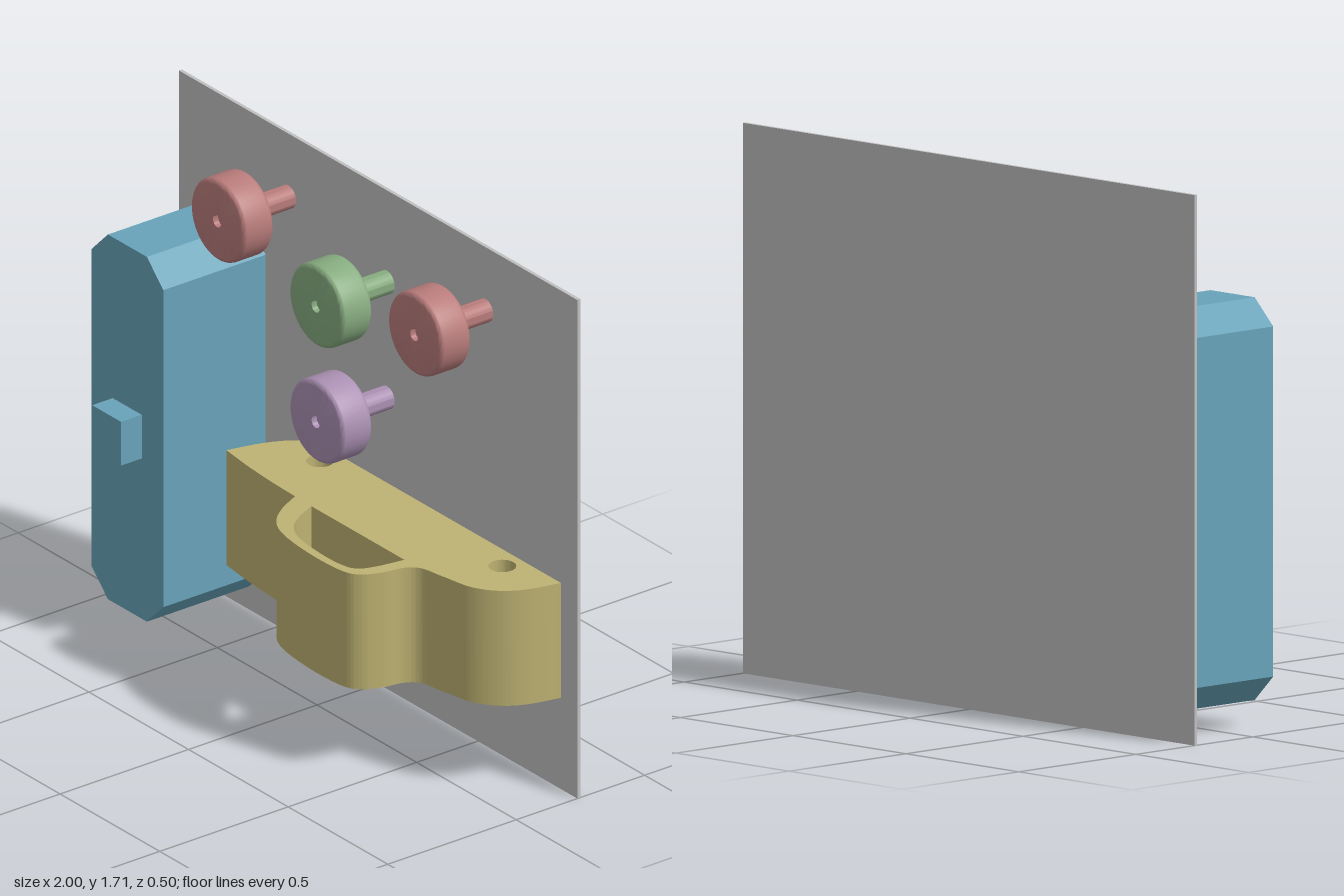
import * as THREE from 'three';
import { toCreasedNormals } from 'three/addons/utils/BufferGeometryUtils.js';

const material = (name, color) => {
  const m = new THREE.MeshStandardMaterial({ color });
  m.name = name;
  return m;
};

const BACK = -0.238; // front surface of the panel

export function createModel() {
  const group = new THREE.Group();
  const grey = material('panel grey', 0xc0c0c0);
  const blue = material('box blue', 0x68a3b9);
  const red = material('knob red', 0xb87c7b);
  const green = material('knob green', 0x87ac80);
  const purple = material('knob purple', 0xab90b3);
  const gold = material('handle gold', 0xbdb272);

  const add = (name, geometry, mat, x = 0, y = 0, z = 0) => {
    const mesh = new THREE.Mesh(geometry, mat);
    mesh.name = name;
    mesh.position.set(x, y, z);
    group.add(mesh);
    return mesh;
  };

  // Thin backing panel
  add('backPanel', new THREE.BoxGeometry(2, 1.714, 0.012), grey, 0, 0.857, -0.244);

  // Tall box with chamfered corners, and its button
  const w = 0.18, h = 0.627, c = 0.082;
  const octagon = new THREE.Shape([
    [-w + c, -h], [w - c, -h], [w, -h + c], [w, h - c],
    [w - c, h], [-w + c, h], [-w, h - c], [-w, -h + c],
  ].map(([x, y]) => new THREE.Vector2(x, y)));
  add('chamferedBox', new THREE.ExtrudeGeometry(octagon, { depth: 0.16 - BACK, bevelEnabled: false }),
    blue, -0.745, 0.707, BACK);
  add('boxButton', new THREE.BoxGeometry(0.146, 0.15, 0.08), blue, -0.746, 0.706, 0.2);

  // Knobs: stem, rounded head and centre dimple in one turned profile
  const profile = [[0, BACK], [0.038, BACK], [0.038, -0.078]];
  const R = 0.138, f = 0.018, back = -0.078, front = 0.04;
  for (let i = 0; i <= 5; i++) {
    const a = (i / 5) * Math.PI / 2;
    profile.push([R - f + f * Math.sin(a), back + f - f * Math.cos(a)]);
  }
  for (let i = 0; i <= 5; i++) {
    const a = (i / 5) * Math.PI / 2;
    profile.push([R - f + f * Math.cos(a), front - f + f * Math.sin(a)]);
  }
  profile.push([0.02, front], [0.02, front - 0.02], [0, front - 0.02]);
  const knob = toCreasedNormals(
    new THREE.LatheGeometry(profile.map(([r, y]) => new THREE.Vector2(r, y)), 48).rotateX(Math.PI / 2), 0.6);
  add('leftRedKnob', knob, red, 0.54, 1.498);
  add('rightRedKnob', knob, red, -0.45, 1.498);
  add('greenKnob', knob, green, 0.045, 1.4);
  add('purpleKnob', knob, purple, 0.045, 1.003);

  // Handle block: plan outline in (x, z), extruded upward
  const points = (list) => list.map(([x, z]) => new THREE.Vector2(x, -z));
  const outline = new THREE.Shape();
  outline.moveTo(-0.325, -BACK);
  outline.splineThru(points([[-0.375, -0.17], [-0.41, -0.09], [-0.435, 0.015]]));
  outline.splineThru(points([[-0.31, 0.03], [-0.18, 0.039], [-0.055, 0.043]]));
  outline.splineThru(points([[-0.01, 0.13], [0.05, 0.197], [0.14, 0.234], [0.3, 0.25], [0.44, 0.243],
    [0.495, 0.213], [0.525, 0.15], [0.54, 0.08], [0.575, 0.04], [0.66, 0.022], [0.77, -0.002],
    [0.845, -0.055], [0.89, -0.13], [0.918, BACK]]));
  outline.closePath();

  // Finger opening behind the grip
  const opening = new THREE.Path();
  opening.moveTo(0.03, -0.045);
  opening.splineThru(points([[0.065, 0.12], [0.11, 0.175], [0.18, 0.208], [0.3, 0.222], [0.4, 0.219],
    [0.455, 0.198], [0.48, 0.14], [0.497, 0.045]]));
  opening.closePath();
  outline.holes.push(opening);

  // Two vertical screw holes
  for (const x of [-0.2, 0.715]) {
    const hole = new THREE.Path();
    hole.absarc(x, 0.167, 0.043, 0, Math.PI * 2, true);
    outline.holes.push(hole);
  }
  const handle = new THREE.ExtrudeGeometry(outline, { depth: 0.395, bevelEnabled: false, curveSegments: 16 });
  add('handleBlock', toCreasedNormals(handle.rotateX(-Math.PI / 2), 0.6), gold, 0, 0.314, 0);

  return group;
}
